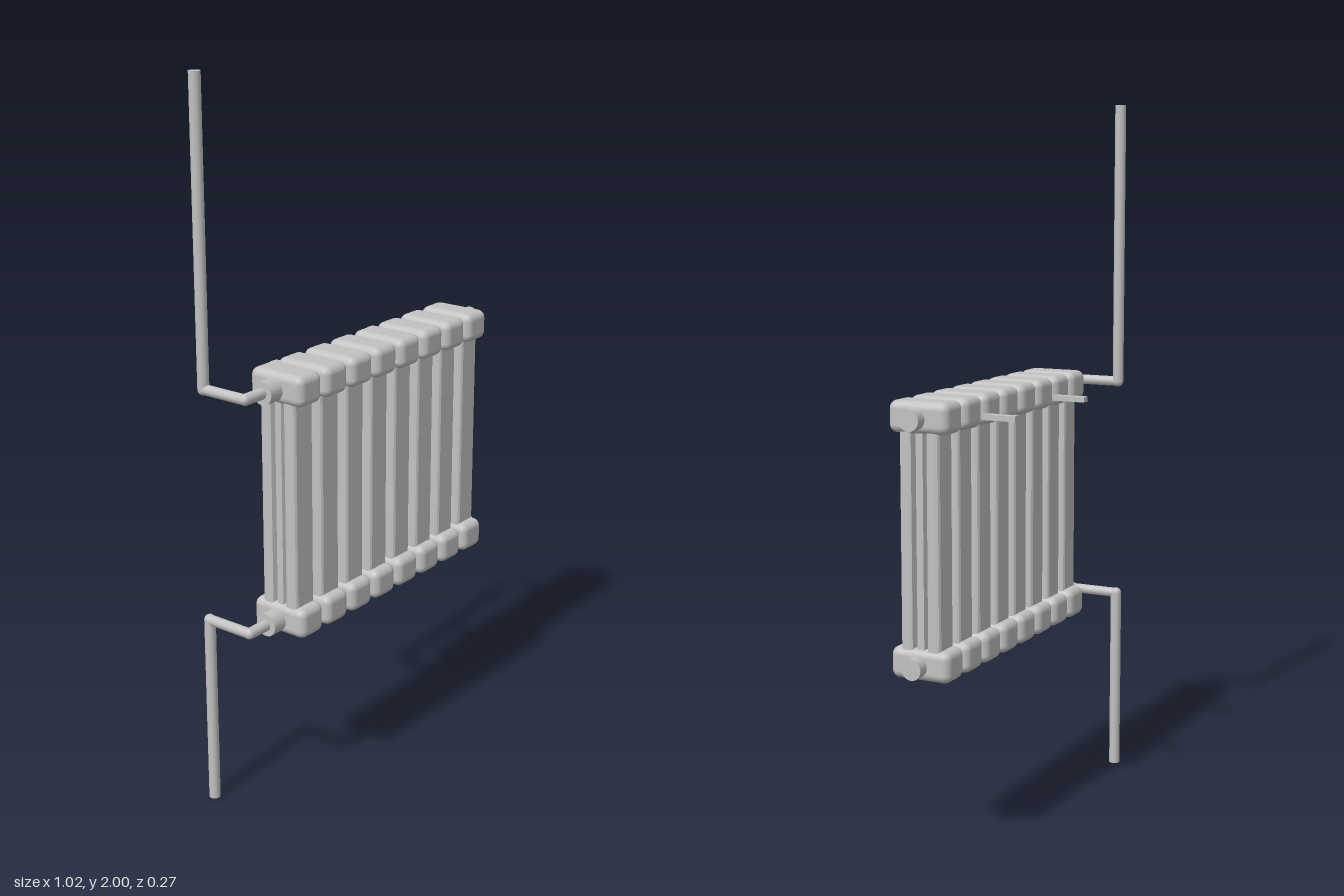
import * as THREE from 'three';
import { RoundedBoxGeometry } from 'three/addons/geometries/RoundedBoxGeometry.js';

const MID_Z = 0.044, TOP_Y = 1.19, LOW_Y = 0.54;

export function createModel() {
  const model = new THREE.Group();
  model.name = 'radiator';
  const metal = new THREE.MeshStandardMaterial({ color: 0xc2c2c2 });
  metal.name = 'paintedMetal';

  const add = (parent, name, geometry, x, y, z) => {
    const mesh = new THREE.Mesh(geometry, metal);
    mesh.name = name;
    mesh.position.set(x, y, z);
    parent.add(mesh);
    return mesh;
  };

  // Column cross-section: two wide outer ribs and a slim middle rib
  const quarter = [
    [0.034, 0.01], [0.018, 0.014], [0.018, 0.018], [0.0365, 0.023],
    [0.0385, 0.029], [0.0385, 0.048], [0.036, 0.055], [0.030, 0.0585],
  ];
  const back = [...quarter].reverse();
  const outline = [
    ...quarter,
    ...back.map(([x, z]) => [-x, z]),
    ...quarter.map(([x, z]) => [-x, -z]),
    ...back.map(([x, z]) => [x, -z]),
  ].map(([x, z]) => new THREE.Vector2(x, z));
  const column = new THREE.ExtrudeGeometry(new THREE.Shape(outline), { depth: 0.62, bevelEnabled: false });
  column.rotateX(-Math.PI / 2);
  const cap = new RoundedBoxGeometry(0.093, 0.085, 0.175, 3, 0.022);

  // Eight equal sections
  for (let i = 0; i < 8; i++) {
    const section = new THREE.Group();
    section.name = 'section' + (i + 1);
    section.position.set(-0.334 + i * 0.1083, 0, MID_Z);
    add(section, 'column', column, 0, 0.555, 0);
    add(section, 'topCap', cap, 0, 1.191, 0);
    add(section, 'bottomCap', cap, 0, 0.54, 0);
    model.add(section);
  }

  // Collars, end plugs and supply pipes at both levels
  const ring = (radius, length) => new THREE.CylinderGeometry(radius, radius, length, 20).rotateZ(Math.PI / 2);
  const collar = ring(0.032, 0.044), plug = ring(0.0285, 0.033);
  const rod = (parent, name, a, b, radius) => {
    const from = new THREE.Vector3(...a), to = new THREE.Vector3(...b);
    const dir = to.clone().sub(from);
    const mid = from.add(to).multiplyScalar(0.5);
    const mesh = add(parent, name, new THREE.CylinderGeometry(radius, radius, dir.length(), 12), mid.x, mid.y, mid.z);
    mesh.quaternion.setFromUnitVectors(new THREE.Vector3(0, 1, 0), dir.normalize());
  };
  for (const [label, y, end] of [['upper', TOP_Y, 2], ['lower', LOW_Y, 0]]) {
    add(model, label + 'Collar', collar, -0.408, y, MID_Z);
    add(model, label + 'Plug', plug, 0.4955, y, MID_Z);
    const pipe = new THREE.Group();
    pipe.name = label + 'Pipe';
    const x = -0.496, z = -0.097;
    rod(pipe, 'riser', [x, end, z], [x, y, z], 0.016);
    rod(pipe, 'wallRun', [x, y, z], [x, y, MID_Z], 0.0145);
    rod(pipe, 'inlet', [x, y, MID_Z], [-0.42, y, MID_Z], 0.0155);
    add(pipe, 'wallElbow', new THREE.SphereGeometry(0.016, 12, 8), x, y, z);
    add(pipe, 'frontElbow', new THREE.SphereGeometry(0.0155, 12, 8), x, y, MID_Z);
    model.add(pipe);
  }

  // Wall brackets behind two of the gaps
  for (const x of [-0.1715, 0.262]) {
    add(model, 'wallBracket', new THREE.BoxGeometry(0.025, 0.015, 0.096), x, 1.175, -0.09);
  }
  return model;
}
